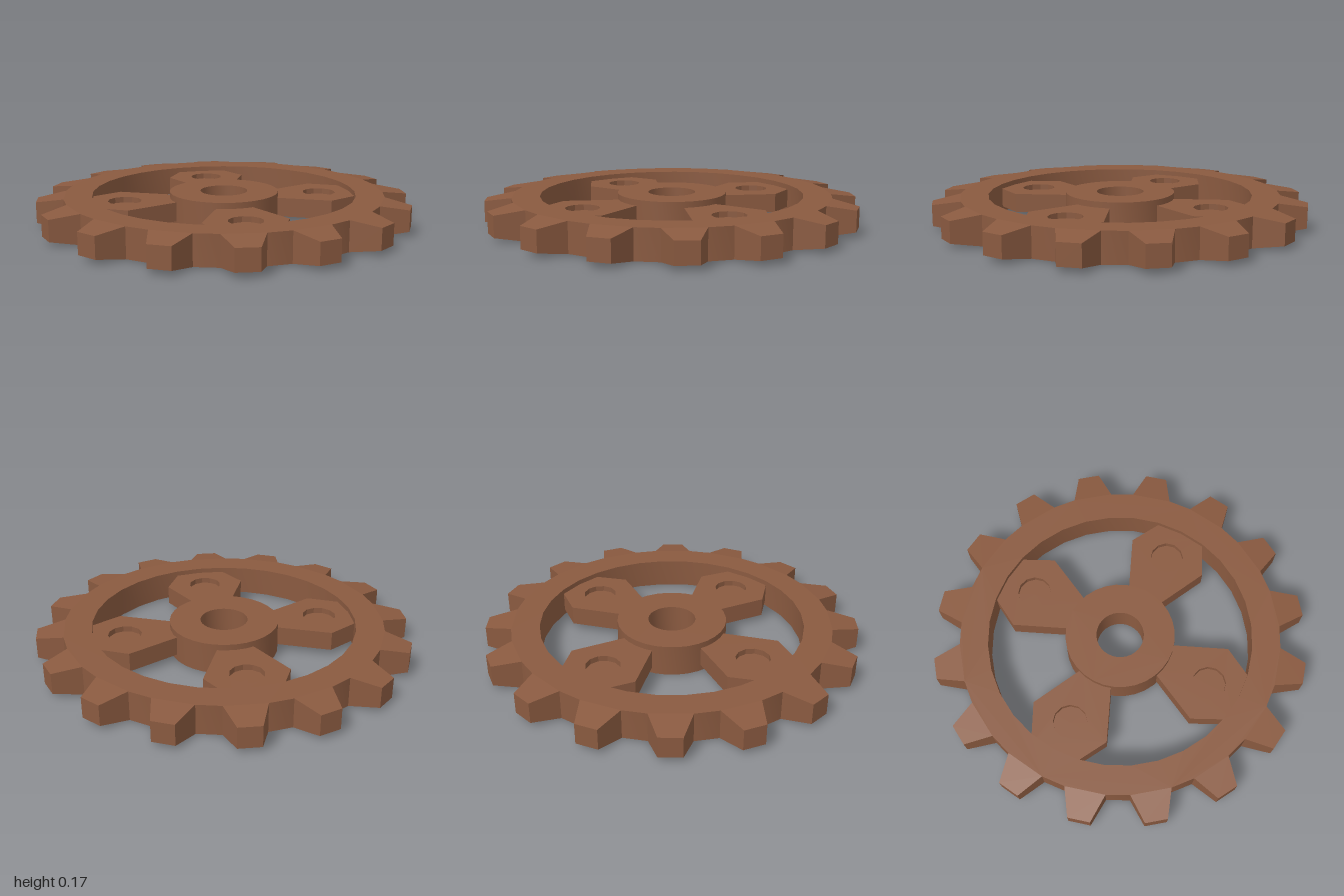
import * as THREE from 'three';
import { toCreasedNormals } from 'three/addons/utils/BufferGeometryUtils.js';

const TEETH = 16;
const STEP = (Math.PI * 2) / TEETH;
const deg = THREE.MathUtils.degToRad;

// point at a clockwise angle from the -z direction
const polar = (r, a, cy = 0) => new THREE.Vector2(r * Math.sin(a), cy + r * Math.cos(a));

// counter-clockwise, so that the walls of holes face inwards
const circle = (r, sides, cy = 0) =>
  Array.from({ length: sides }, (_, i) => polar(r, -(i / sides) * Math.PI * 2, cy));

// horizontal plate with one hole, between heights y0 and y1
function plate(outline, hole, y0, y1) {
  const shape = new THREE.Shape(outline);
  shape.holes.push(new THREE.Path(hole));
  const geo = new THREE.ExtrudeGeometry(shape, { depth: y1 - y0, bevelEnabled: false });
  geo.rotateX(-Math.PI / 2).translate(0, y0, 0);
  return toCreasedNormals(geo, 0.4);
}

// tooth that narrows in width and height towards its tip
function toothGeometry(rootR, halfRoot, halfTip) {
  const geo = new THREE.BoxGeometry(2, 2, 2);
  const p = geo.attributes.position;
  for (let i = 0; i < p.count; i++) {
    const tip = p.getZ(i) < 0;
    const r = tip ? 1 : rootR;
    const a = tip ? halfTip : halfRoot;
    p.setXYZ(i,
      p.getX(i) * r * Math.sin(a),
      0.084 + p.getY(i) * (tip ? 0.056 : 0.079),
      -r * Math.cos(a));
  }
  const flat = geo.toNonIndexed();
  flat.computeVertexNormals();
  return flat;
}

export function createModel() {
  const model = new THREE.Group();
  model.name = 'gear';
  const brown = new THREE.MeshStandardMaterial({ color: 0x8a5a40 });
  brown.name = 'brown';

  const add = (parent, name, geo) => {
    const mesh = new THREE.Mesh(geo, brown);
    mesh.name = name;
    parent.add(mesh);
    return mesh;
  };

  // rim, with a corner at both sides of every tooth root
  const rootR = 0.858, halfRoot = deg(7.1), firstTooth = deg(5.5);
  const rimOutline = [];
  for (let i = 0; i < TEETH; i++) {
    const a = firstTooth + i * STEP;
    rimOutline.push(polar(rootR, a - halfRoot), polar(rootR, a + halfRoot));
  }
  add(model, 'rim', plate(rimOutline, circle(0.708, 32), 0.005, 0.163));

  // teeth
  const teeth = new THREE.Group();
  teeth.name = 'teeth';
  const tooth = toothGeometry(rootR, halfRoot, deg(3.35));
  for (let i = 0; i < TEETH; i++) {
    add(teeth, 'tooth', tooth).rotation.y = -(firstTooth + i * STEP);
  }
  model.add(teeth);

  // hub with its axle hole
  add(model, 'hub', plate(circle(0.293, 32), circle(0.127, 32), 0, 0.168));

  // four spokes, widest at a round recess on both faces
  const half = [[0.085, 0.25], [0.22, 0.54], [0.115, 0.74]];
  const spokeOutline = [
    ...half.map(([x, y]) => new THREE.Vector2(x, y)),
    ...half.map(([x, y]) => new THREE.Vector2(-x, y)).reverse(),
  ];
  const spokeGeo = plate(spokeOutline, circle(0.09, 12, 0.537), 0.034, 0.136);
  const floorGeo = new THREE.CylinderGeometry(0.09, 0.09, 0.042, 12).translate(0, 0.085, -0.537);
  for (let i = 0; i < 4; i++) {
    const spoke = new THREE.Group();
    spoke.name = 'spoke';
    add(spoke, 'spokeArm', spokeGeo);
    add(spoke, 'recessFloor', floorGeo);
    spoke.rotation.y = (i * Math.PI) / 2;
    model.add(spoke);
  }
  return model;
}
